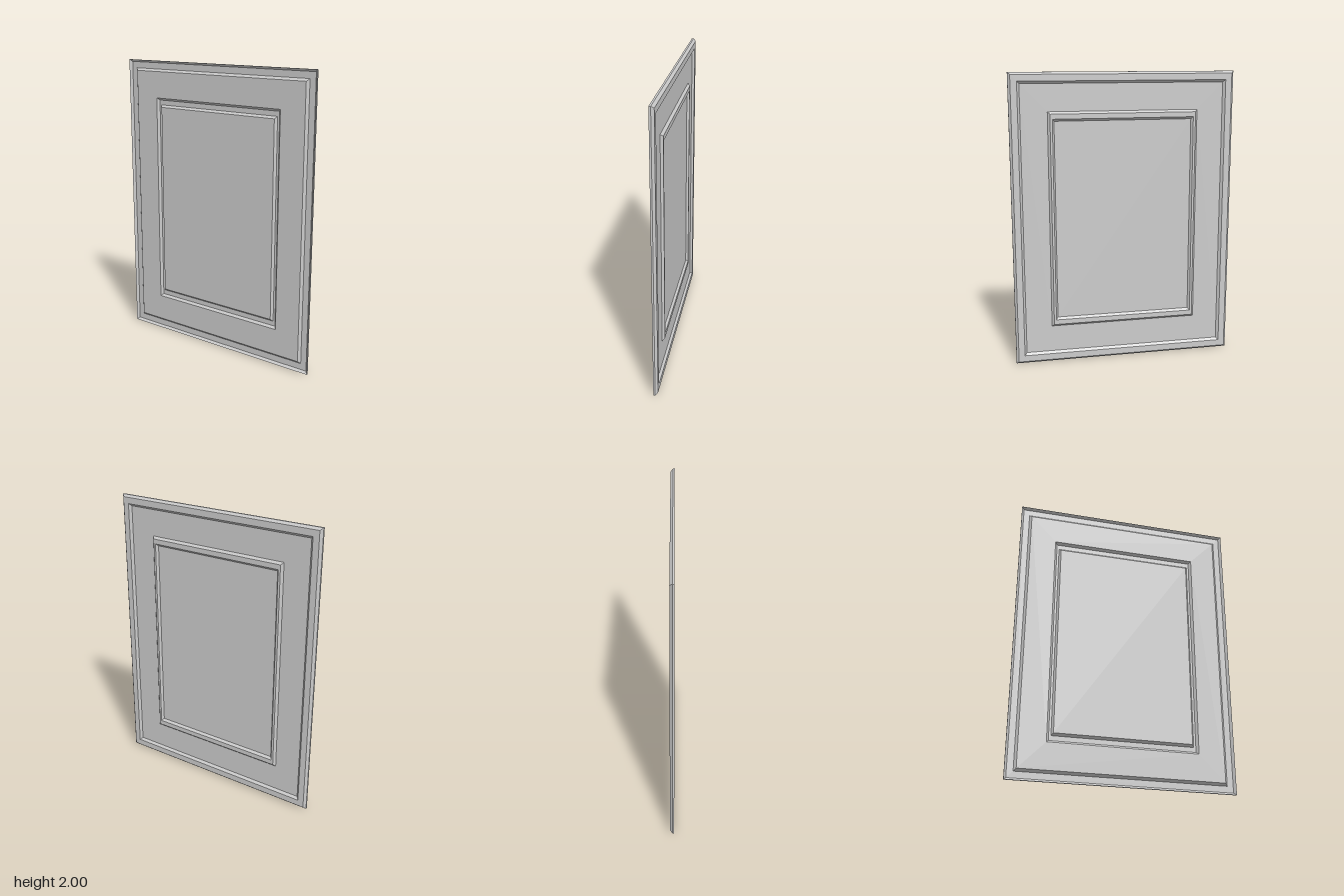
import * as THREE from 'three';

const HIGH = 0.0145, LOW = -0.002, THICK = 0.0125;

// Nested rectangles from rim to centre: [half width, half height, front z]
const rings = [
  [0.765, 1.0, HIGH], [0.749, 0.985, LOW],      // outer groove
  [0.707, 0.942, LOW], [0.691, 0.926, HIGH],
  [0.512, 0.743, HIGH], [0.497, 0.728, LOW],    // inner groove
  [0.482, 0.695, LOW], [0.469, 0.68, HIGH],
];

// Four corners of a rectangle, anticlockwise as seen from the front
const corners = ([w, h, z], dz = 0) =>
  [[-1, -1], [1, -1], [1, 1], [-1, 1]].map(([sx, sy]) => [sx * w, 1 + sy * h, z + dz]);

const quad = (out, a, b, c, d) => out.push(...a, ...b, ...c, ...a, ...c, ...d);

// Mitred band of four quads between two rectangles
function band(out, a, b, flip = false) {
  for (let i = 0; i < 4; i++) {
    const j = (i + 1) % 4;
    if (flip) quad(out, a[j], a[i], b[i], b[j]);
    else quad(out, a[i], a[j], b[j], b[i]);
  }
}

// Front and back skins of the pressed sheet between two ring numbers
function sheet(from, to) {
  const out = [];
  for (let i = from; i < to; i++) {
    band(out, corners(rings[i]), corners(rings[i + 1]));
    band(out, corners(rings[i], -THICK), corners(rings[i + 1], -THICK), true);
  }
  return out;
}

export function createModel() {
  const group = new THREE.Group();
  group.name = 'panelDoor';
  const material = new THREE.MeshStandardMaterial({ color: 0xcccccc, flatShading: true });

  const add = (name, positions) => {
    const geometry = new THREE.BufferGeometry();
    geometry.setAttribute('position', new THREE.Float32BufferAttribute(positions, 3));
    geometry.computeVertexNormals();
    const mesh = new THREE.Mesh(geometry, material);
    mesh.name = name;
    group.add(mesh);
  };

  // Thin outer edge
  const rim = [];
  band(rim, corners(rings[0], -THICK), corners(rings[0]));
  add('rim', rim);

  add('outerMoulding', sheet(0, 3));
  add('frame', sheet(3, 4));
  add('innerMoulding', sheet(4, 7));

  // Flat centre, front and back
  const centre = [];
  quad(centre, ...corners(rings[7]));
  quad(centre, ...corners(rings[7], -THICK).reverse());
  add('centrePanel', centre);

  return group;
}
